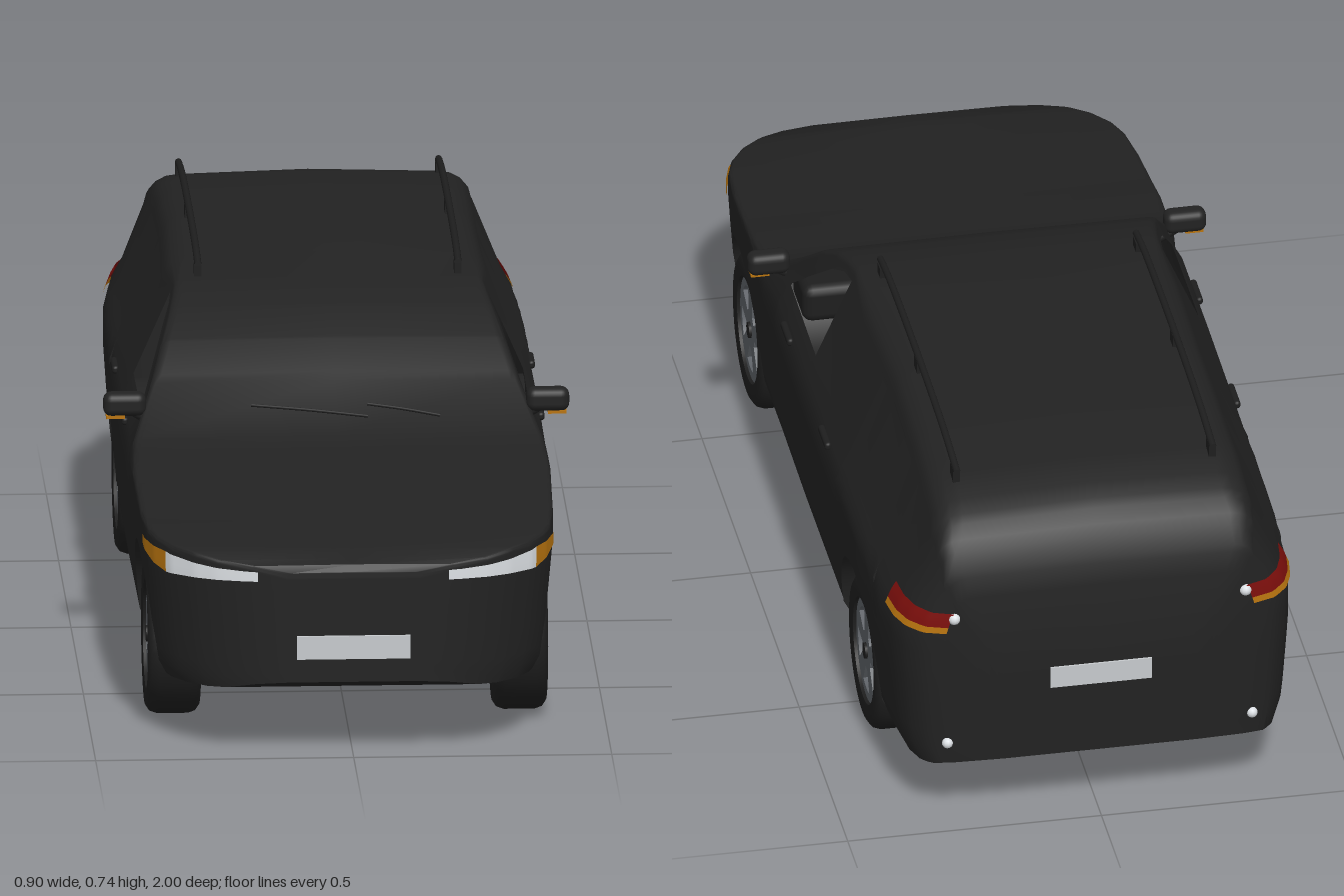
import * as THREE from 'three';
import { toCreasedNormals } from 'three/addons/utils/BufferGeometryUtils.js';
import { RoundedBoxGeometry } from 'three/addons/geometries/RoundedBoxGeometry.js';

const mat = (name, color, side = THREE.FrontSide) => {
  const m = new THREE.MeshStandardMaterial({ color, side });
  m.name = name;
  return m;
};
const paint = mat('black paint', 0x222222, THREE.DoubleSide);
const rubber = mat('black rubber', 0x1e1e1e);
const alloy = mat('grey alloy', 0x5d6166);
const glass = mat('clear lamp', 0xdde1e5, THREE.DoubleSide);
const amber = mat('amber lamp', 0xb8740f, THREE.DoubleSide);
const red = mat('red lamp', 0x7c0f0c, THREE.DoubleSide);
const plate = mat('plate grey', 0xc6cacd);

// Linear lookup in a list of [key, value] pairs with rising keys
function lookup(table, k) {
  if (k <= table[0][0]) return table[0][1];
  for (let i = 1; i < table.length; i++) {
    const [k0, v0] = table[i - 1], [k1, v1] = table[i];
    if (k <= k1) return v0 + (v1 - v0) * (k - k0) / (k1 - k0);
  }
  return table[table.length - 1][1];
}

// Body rules: half width, top line and edge rounding along z, side curve along y
const WIDTH = [[-0.996, 0.2], [-0.985, 0.3], [-0.97, 0.345], [-0.94, 0.372], [-0.9, 0.387], [-0.8, 0.4], [-0.6, 0.406],
  [0, 0.408], [0.5, 0.405], [0.7, 0.4], [0.8, 0.391], [0.85, 0.376], [0.9, 0.346], [0.94, 0.303], [0.965, 0.262],
  [0.985, 0.2], [0.994, 0.13]];
const TOP = [[-0.996, 0.36], [-0.985, 0.52], [-0.975, 0.56], [-0.955, 0.61], [-0.92, 0.652], [-0.87, 0.68], [-0.8, 0.695],
  [-0.65, 0.707], [-0.44, 0.713], [-0.18, 0.702], [-0.02, 0.688], [0.03, 0.678], [0.086, 0.661], [0.166, 0.617],
  [0.247, 0.555], [0.36, 0.475], [0.42, 0.464], [0.6, 0.437], [0.75, 0.42], [0.85, 0.41], [0.93, 0.4],
  [0.965, 0.39], [0.985, 0.383], [0.994, 0.37]];
const ROUND = [[-0.985, 0.03], [-0.9, 0.055], [-0.15, 0.055], [-0.03, 0.02], [0.3, 0.018], [0.5, 0.012], [0.994, 0.01]];
const SIDE = [[0.12, 0.91], [0.15, 0.955], [0.2, 0.97], [0.3, 0.99], [0.36, 1], [0.44, 1], [0.47, 0.97], [0.5, 0.925],
  [0.57, 0.855], [0.63, 0.795], [0.67, 0.74], [0.72, 0.65]];
const SILL = [[-0.996, 0.15], [-0.96, 0.135], [-0.8, 0.127], [0.8, 0.125], [0.96, 0.132], [0.994, 0.15]];
const WINDOW = [[-0.03, 0.662], [0.02, 0.653], [0.075, 0.627], [0.16, 0.562], [0.23, 0.505]];
const AXLES = [0.63, -0.565], ARCH = 0.185, HUB_Y = 0.155;
const halfX = (z, y) => lookup(WIDTH, z) * lookup(SIDE, y);

function bottomY(z) {
  for (const c of AXLES) {
    const d = Math.abs(z - c);
    if (d <= ARCH + 1e-6) return HUB_Y + Math.sqrt(Math.max(0, ARCH * ARCH - d * d));
  }
  return lookup(SILL, z);
}

const LOWER = 10; // rows below the belt line
function halfSection(z) {
  const top = lookup(TOP, z), d = lookup(ROUND, z), edge = top - d, b = bottomY(z);
  const belt = Math.min(0.5, edge - 0.012), pts = [];
  for (let i = 0; i <= LOWER; i++) pts.push(b + (belt - b) * i / LOWER);
  pts.push(Math.min(lookup(WINDOW, z), edge - 0.004), edge);
  const half = pts.map(y => [halfX(z, y), y]);
  const xe = halfX(z, edge);
  for (let i = 1; i <= 4; i++) {
    const a = i * Math.PI / 8;
    half.push([xe - d * 1.1 * (1 - Math.cos(a)), edge + d * 0.87 * Math.sin(a)]);
  }
  half.push([0, top]);
  return half;
}

// Hollow body with through wheel arches and open front door windows
function bodyGeometry() {
  const set = new Set([...WIDTH, ...TOP, ...WINDOW].map(p => p[0]));
  for (const c of AXLES) {
    for (let i = 0; i <= 20; i++) set.add(c + ARCH * Math.cos(i * Math.PI / 20));
    set.add(c + ARCH + 0.001).add(c - ARCH - 0.001);
  }
  const zs = [...set].sort((a, b) => a - b), pos = [], idx = [];
  let n = 0, h = 0;
  for (const z of zs) {
    const half = halfSection(z);
    const ring = [...half, ...half.slice(0, -1).reverse().map(([x, y]) => [-x, y])];
    h = half.length;
    n = ring.length;
    for (const [x, y] of ring) pos.push(x, y, z);
  }
  const quad = (a, b, c, d) => idx.push(a, b, c, a, c, d);
  for (let j = 0; j < zs.length - 1; j++) {
    const inWindow = zs[j] > -0.031 && zs[j + 1] < 0.231;
    for (let i = 0; i < n; i++) {
      if (inWindow && (i === LOWER || i === n - 2 - LOWER)) continue;
      const k = (i + 1) % n;
      quad(j * n + i, j * n + k, (j + 1) * n + k, (j + 1) * n + i);
    }
  }
  const last = (zs.length - 1) * n;
  for (let i = 0; i < h - 1; i++) {
    quad(last + i, last + i + 1, last + n - 2 - i, last + n - 1 - i);
    quad(n - 1 - i, n - 2 - i, i + 1, i);
  }
  const g = new THREE.BufferGeometry();
  g.setAttribute('position', new THREE.Float32BufferAttribute(pos, 3));
  g.setIndex(idx);
  return toCreasedNormals(g, 0.6);
}

// Thin lamp skin following the body between z0 and z1
function lampGeometry(side, z0, z1, low, high) {
  const g = new THREE.PlaneGeometry(1, 1, 20, 4), p = g.attributes.position;
  for (let i = 0; i < p.count; i++) {
    const u = p.getX(i) + 0.5, v = p.getY(i) + 0.5;
    const z = z0 + (z1 - z0) * u;
    const y = low[0] + (low[1] - low[0]) * u + v * (high[0] - low[0] + (high[1] - high[0] - low[1] + low[0]) * u);
    const slope = (halfX(z + 0.004, y) - halfX(z - 0.004, y)) / 0.008, len = Math.hypot(1, slope);
    p.setXYZ(i, side * (halfX(z, y) + 0.005 / len), y, z - 0.005 * slope / len);
  }
  if ((z1 - z0) * side > 0) g.index.array.reverse();
  g.computeVertexNormals();
  return g;
}

function wheel() {
  const g = new THREE.Group();
  const profile = [[0, -0.04], [0.09, -0.04], [0.1, -0.05], [0.138, -0.052], [0.15, -0.044], [0.155, -0.03], [0.155, 0.03],
    [0.15, 0.044], [0.138, 0.052], [0.106, 0.05], [0.102, 0.03], [0, 0.03]].map(([r, a]) => new THREE.Vector2(r, a));
  const tyre = toCreasedNormals(new THREE.LatheGeometry(profile, 40).rotateZ(-Math.PI / 2), 0.7);
  // five spoked disc
  const disc = new THREE.Shape().absarc(0, 0, 0.104, 0, Math.PI * 2);
  for (let i = 0; i < 5; i++) {
    const a = Math.PI / 2 + (i + 0.5) * Math.PI * 0.4, hole = new THREE.Path();
    hole.absarc(0, 0, 0.086, a - 0.36, a + 0.36, false);
    hole.absarc(0, 0, 0.04, a + 0.2, a - 0.2, true);
    hole.closePath();
    disc.holes.push(hole);
  }
  const rim = new THREE.ExtrudeGeometry(disc, { depth: 0.012, bevelEnabled: false, curveSegments: 24 }).rotateY(Math.PI / 2);
  const cap = new THREE.CylinderGeometry(0.016, 0.016, 0.006, 16).rotateZ(Math.PI / 2);
  add(g, 'tyre', tyre, rubber);
  add(g, 'rim', rim, alloy, 0.032, 0, 0);
  add(g, 'hubCap', cap, rubber, 0.046, 0, 0);
  return g;
}

function add(parent, name, geometry, material, x = 0, y = 0, z = 0) {
  const m = new THREE.Mesh(geometry, material);
  m.name = name;
  m.position.set(x, y, z);
  parent.add(m);
  return m;
}
const box = (w, h, d) => new THREE.BoxGeometry(w, h, d);
const tube = (pts, r) => new THREE.TubeGeometry(
  new THREE.CatmullRomCurve3(pts.map(p => new THREE.Vector3(...p))), 24, r, 8);

export function createModel() {
  const car = new THREE.Group();
  car.name = 'panelVan';
  add(car, 'body', bodyGeometry(), paint);
  add(car, 'dashboard', new RoundedBoxGeometry(0.7, 0.08, 0.12, 2, 0.02), rubber, 0, 0.44, 0.3);
  add(car, 'frontPlate', box(0.22, 0.046, 0.008), plate, 0, 0.22, 0.996);
  add(car, 'rearPlate', box(0.2, 0.045, 0.006), plate, 0, 0.325, -0.997);

  for (const s of [1, -1]) {
    // lamps
    add(car, 'headlight', lampGeometry(s, 0.987, 0.885, [0.352, 0.347], [0.371, 0.388]), glass);
    add(car, 'frontIndicator', lampGeometry(s, 0.885, 0.775, [0.347, 0.375], [0.388, 0.393]), amber);
    add(car, 'tailLight', lampGeometry(s, -0.85, -0.984, [0.455, 0.455], [0.488, 0.485]), red);
    add(car, 'rearIndicator', lampGeometry(s, -0.85, -0.984, [0.442, 0.442], [0.455, 0.455]), amber);
    add(car, 'reversingLight', new THREE.SphereGeometry(0.012, 12, 8), glass, s * 0.287, 0.472, -0.984);
    add(car, 'rearFogLight', new THREE.SphereGeometry(0.011, 12, 8), glass, s * 0.3, 0.19, -0.982);

    // wheels
    for (const z of AXLES) {
      const w = wheel();
      w.name = z > 0 ? 'frontWheel' : 'rearWheel';
      w.position.set(s * 0.336, HUB_Y, z);
      if (s < 0) w.rotation.y = Math.PI;
      car.add(w);
    }

    // door mirror
    add(car, 'mirrorHousing', new RoundedBoxGeometry(0.083, 0.046, 0.042, 3, 0.016), paint, s * 0.41, 0.524, 0.287);
    add(car, 'mirrorArm', tube([[s * 0.355, 0.49, 0.285], [s * 0.375, 0.5, 0.285], [s * 0.4, 0.515, 0.285]], 0.012), paint);
    add(car, 'mirrorIndicator', box(0.036, 0.006, 0.025), amber, s * 0.428, 0.5, 0.29);

    // roof rail with feet
    const x = s * 0.252;
    add(car, 'roofRail', tube([[x, 0.712, -0.04], [x, 0.722, -0.12], [x, 0.729, -0.44], [x, 0.722, -0.7], [x, 0.708, -0.83]], 0.007), rubber);
    for (const z of [-0.06, -0.44, -0.81])
      add(car, 'railFoot', box(0.014, 0.03, 0.03), rubber, x, lookup(TOP, z) + 0.002, z);

    // door handles, under blocks and wipers
    for (const z of [0.13, -0.257])
      add(car, 'doorHandle', new RoundedBoxGeometry(0.014, 0.016, 0.075, 2, 0.006), rubber, s * 0.403, 0.455, z);
    add(car, 'underBlock', box(0.08, 0.06, 0.13), rubber, s * 0.16, 0.105, 0.02);
  }
  for (const [x0, x1] of [[-0.165, 0.06], [0.06, 0.2]])
    add(car, 'wiper', tube([[x0, 0.521, 0.301], [(x0 + x1) / 2, 0.513, 0.312], [x1, 0.503, 0.326]], 0.003), rubber);
  return car;
}
